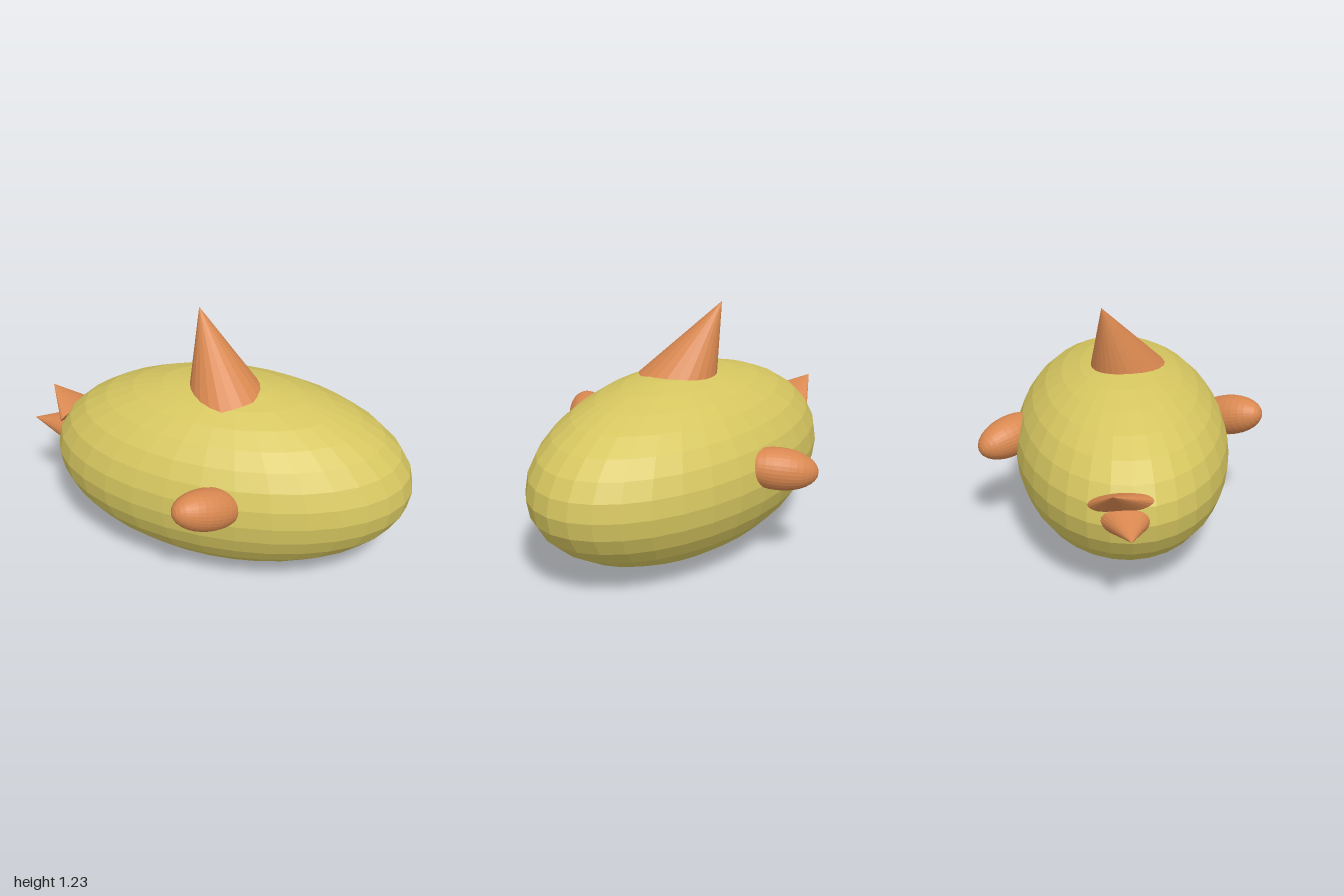
import * as THREE from 'three';

const yellow = new THREE.MeshStandardMaterial({ color: 0xd6c660, flatShading: true });
const orange = new THREE.MeshStandardMaterial({ color: 0xd98850, flatShading: true });

// Turns a mesh so its local +y follows dir and its local x lies close to side
function orient(mesh, dir, side) {
  const y = dir.clone().normalize();
  const x = side.clone().addScaledVector(y, -side.dot(y)).normalize();
  const z = new THREE.Vector3().crossVectors(x, y);
  mesh.quaternion.setFromRotationMatrix(new THREE.Matrix4().makeBasis(x, y, z));
}

// Cone from a base centre to its tip, with an elliptical base
function spike(name, base, tip, width, depth) {
  const b = new THREE.Vector3(...base);
  const t = new THREE.Vector3(...tip);
  const mesh = new THREE.Mesh(new THREE.ConeGeometry(1, 1, 24), orange);
  mesh.name = name;
  mesh.scale.set(width, b.distanceTo(t), depth);
  mesh.position.copy(b).lerp(t, 0.5);
  orient(mesh, t.clone().sub(b), new THREE.Vector3(0, 0, 1));
  return mesh;
}

// Stretched sphere, centred at pos
function ellipsoid(name, material, pos, radii) {
  const mesh = new THREE.Mesh(new THREE.SphereGeometry(1, 32, 16), material);
  mesh.name = name;
  mesh.position.set(...pos);
  mesh.scale.set(...radii);
  return mesh;
}

export function createModel() {
  const model = new THREE.Group();
  model.name = 'roundCreature';

  // Body
  model.add(ellipsoid('body', yellow, [0.085, 0.455, 0], [0.912, 0.455, 0.535]));

  // Stubby limbs, one on each side, leaning towards the beak
  const limbs = [
    ['frontLimb', [0.14, 0.555, 0.557], [-0.61, 0.29, 0.74]],
    ['backLimb', [0.025, 0.522, -0.557], [-0.62, -0.12, -0.76]],
  ];
  for (const [name, pos, dir] of limbs) {
    const limb = ellipsoid(name, orange, pos, [0.102, 0.19, 0.102]);
    orient(limb, new THREE.Vector3(...dir), new THREE.Vector3(1, 0, 0));
    model.add(limb);
  }

  // Leaning horn on top
  model.add(spike('horn', [0.068, 0.795, 0.028], [-0.115, 1.23, -0.105], 0.208, 0.208));

  // Two-part beak, flattened, at the -x end
  model.add(spike('upperBeak', [-0.77, 0.555, -0.055], [-0.915, 0.66, -0.095], 0.15, 0.045));
  model.add(spike('lowerBeak', [-0.76, 0.472, -0.028], [-1, 0.485, -0.02], 0.128, 0.085));

  return model;
}
